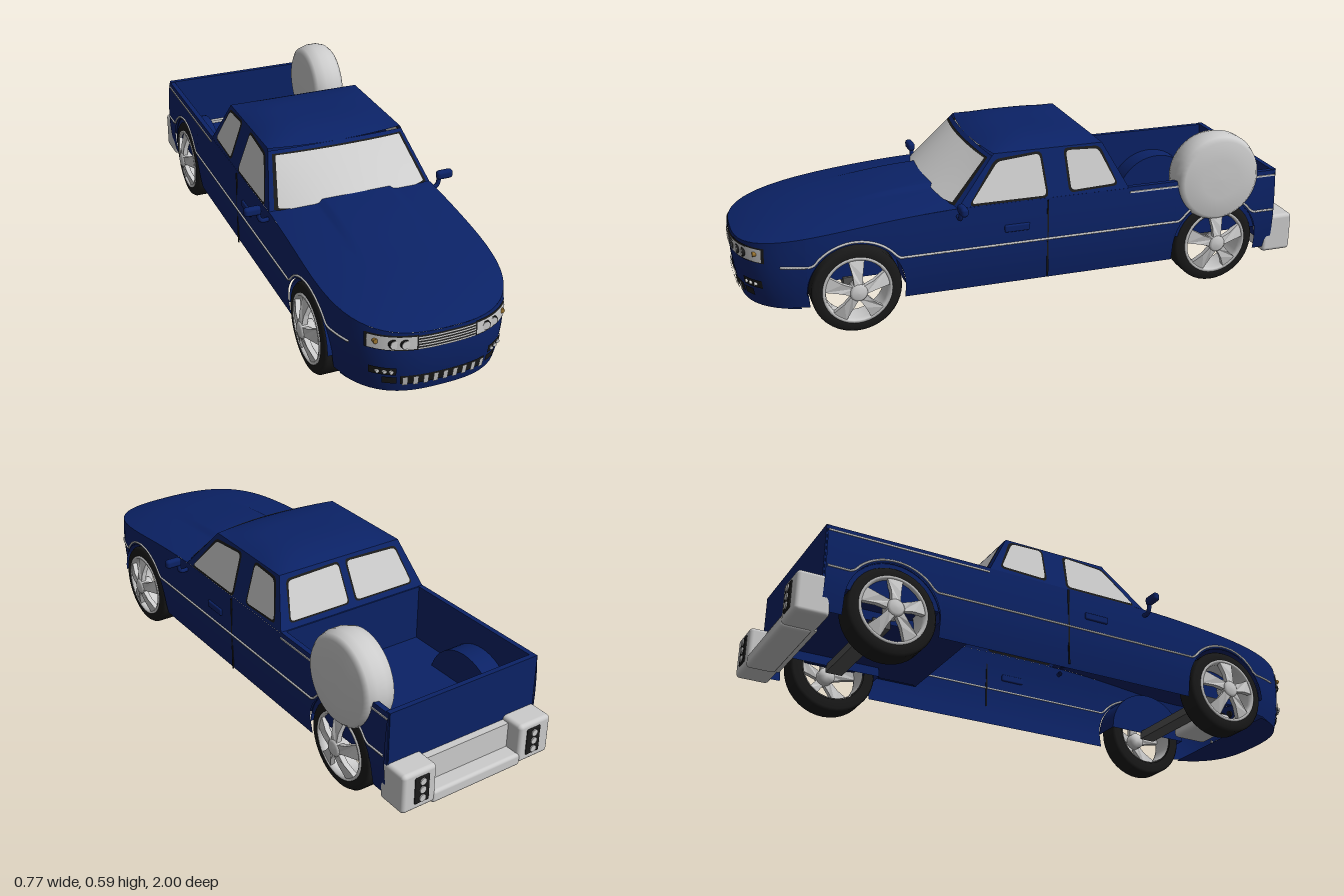
import * as THREE from 'three';
import { RoundedBoxGeometry } from 'three/addons/geometries/RoundedBoxGeometry.js';

const mat = (color) => new THREE.MeshStandardMaterial({ color, roughness: 0.6, side: THREE.DoubleSide });
const blue = mat(0x0b2266), black = mat(0x1a1a1a), grey = mat(0xcccccc);
const lerp = THREE.MathUtils.lerp;
const WHEEL_Y = 0.152, AXLES = [0.628, -0.674], ARCH = 0.163;

function add(parent, name, geo, material, x = 0, y = 0, z = 0) {
  const m = new THREE.Mesh(geo, material);
  m.name = name;
  m.position.set(x, y, z);
  parent.add(m);
  return m;
}

// Grid surface from fn(u, v) -> [x, y, z]
function surf(fn, nu, nv) {
  const pos = [], idx = [];
  for (let i = 0; i <= nu; i++) for (let j = 0; j <= nv; j++) {
    pos.push(...fn(i / nu, j / nv));
    if (i < nu && j < nv) {
      const a = i * (nv + 1) + j, b = a + nv + 1;
      idx.push(a, b, a + 1, b, b + 1, a + 1);
    }
  }
  const g = new THREE.BufferGeometry();
  g.setAttribute('position', new THREE.Float32BufferAttribute(pos, 3));
  g.setIndex(idx);
  g.computeVertexNormals();
  return g;
}

// Flat polygon with rounded corners, mapped into space by fn(a, b)
function panel(pts, r, fn) {
  const s = new THREE.Shape(), V = pts.map((p) => new THREE.Vector2(...p)), n = V.length;
  V.forEach((p, i) => {
    const toward = (q) => p.clone().add(q.clone().sub(p).setLength(r));
    const a = toward(V[(i + n - 1) % n]), b = toward(V[(i + 1) % n]);
    if (i) s.lineTo(a.x, a.y); else s.moveTo(a.x, a.y);
    s.quadraticCurveTo(p.x, p.y, b.x, b.y);
  });
  const g = new THREE.ShapeGeometry(s, 6), P = g.attributes.position;
  for (let i = 0; i < P.count; i++) P.setXYZ(i, ...fn(P.getX(i), P.getY(i)));
  g.computeVertexNormals();
  return g;
}

// Body outline in plan, shoulder height, and narrowing above and below the waist
const widthAt = (z) => z < 0.45 ? 0.305 : 0.305 * Math.max(0, 1 - ((z - 0.45) / 0.55) ** 4) ** (1 / 2.7);
const noseZ = (x) => 0.45 + 0.55 * Math.max(0, 1 - (Math.abs(x) / 0.305) ** 2.7) ** 0.25;
const along = (z) => THREE.MathUtils.clamp((z - 0.25) / 0.75, 0, 1);
const shoulder = (z) => 0.395 - 0.08 * along(z) ** 1.6;
function place(x, y, z, fy = y) {
  const t = (fy - 0.25) / 0.15, f = 1 - (t < 0 ? 0.05 : 0.03) * t * t;
  return [x * f, y, z > 0.6 ? 0.6 + (z - 0.6) * f : z];
}
// Patch lying on the nose
const nosePatch = (x0, x1, y0, y1, off) => surf((u, v) => {
  const x = lerp(x0, x1, u), p = place(x, lerp(y0, y1, v), noseZ(x));
  return [p[0] * (1 + off), p[1], p[2] + off];
}, 10, 2);

function buildBody(g) {
  // Stations [x, z, bottom] along one side, round the wheel arches to the nose
  const st = [];
  const station = (z, yb = 0.1) => st.push([widthAt(z), z, yb]);
  station(-0.905);
  for (const zc of [...AXLES].reverse()) {
    station(zc - ARCH);
    for (let i = 0; i <= 24; i++) {
      const a = Math.PI * (1 - i / 24);
      station(zc + ARCH * Math.cos(a), WHEEL_Y + ARCH * Math.sin(a));
    }
    station(zc + ARCH);
    if (zc < 0) for (let z = -0.4; z < 0.45; z += 0.1) station(z);
  }
  station(0.83);
  for (let i = 0, x0 = widthAt(0.87); i <= 14; i++) st.push([x0 * (1 - i / 14), noseZ(x0 * (1 - i / 14)), 0.095]);
  for (const sg of [1, -1]) {
    add(g, 'bodySide', surf((u, v) => {
      const [x, z, yb] = st[Math.round(u * (st.length - 1))];
      return place(sg * x, lerp(yb, shoulder(z), v), z);
    }, st.length - 1, 8), blue);
    // Trim strip that rises over both arches
    const pts = [];
    for (let z = -0.9; z < 0.88; z += 0.015) {
      let y = 0.25;
      for (const zc of AXLES) y = Math.max(y, WHEEL_Y + Math.sqrt(Math.max(0, 0.172 ** 2 - (z - zc) ** 2)));
      pts.push(new THREE.Vector3(...place(sg * (widthAt(z) + 0.001), y, z)));
    }
    add(g, 'sideTrim', new THREE.TubeGeometry(new THREE.CatmullRomCurve3(pts), 200, 0.004, 5), grey);
    // Door seam and handle
    add(g, 'doorSeam', new THREE.BoxGeometry(0.004, 0.28, 0.005), black, sg * 0.303, 0.25, -0.035);
    add(g, 'doorHandle', new RoundedBoxGeometry(0.012, 0.026, 0.09, 2, 0.005), blue, sg * 0.304, 0.305, 0.075);
    // Wheel wells
    for (const zc of AXLES) {
      const arc = (u, r, x) => [sg * x, WHEEL_Y + r * Math.sin(Math.PI * u), zc + r * Math.cos(Math.PI * u)];
      add(g, 'wheelWell', surf((u, v) => arc(u, ARCH, lerp(0.2, 0.298, v)), 24, 1), blue);
      add(g, 'wheelWellInner', surf((u, v) => arc(u, ARCH * v, 0.2), 24, 1), blue);
    }
  }
  // Bonnet with a raised middle
  add(g, 'bonnet', surf((u, v) => {
    const z = 0.25 + 0.75 * Math.sin(v * Math.PI / 2), s = 2 * u - 1, x = s * widthAt(z), e = shoulder(z);
    const crown = 0.034 * (1 - along(z) ** 6) * (1 - Math.abs(s) ** 2.2);
    const bulge = 0.008 * (1 - THREE.MathUtils.smoothstep(Math.abs(x), 0.125, 0.145)) * (1 - THREE.MathUtils.smoothstep(z, 0.4, 0.7));
    return place(x, e + crown + bulge, z, e);
  }, 48, 24), blue);
  add(g, 'noseUnderside', surf((u, v) => {
    const z = 0.82 + 0.18 * Math.sin(v * Math.PI / 2);
    return place((2 * u - 1) * widthAt(z), 0.095, z);
  }, 12, 10), blue);
}

function buildNose(g) {
  add(g, 'grilleBack', nosePatch(-0.095, 0.095, 0.26, 0.306, 0.002), black);
  for (let i = 0; i < 5; i++) add(g, 'grilleBar', nosePatch(-0.095, 0.095, 0.261 + i * 0.0092, 0.268 + i * 0.0092, 0.006), grey);
  add(g, 'lowerIntake', nosePatch(-0.143, 0.143, 0.128, 0.162, 0.003), black);
  for (let i = -4; i <= 4; i++) add(g, 'intakeBar', nosePatch(i * 0.0325 - 0.008, i * 0.0325 + 0.008, 0.128, 0.162, 0.009), grey);
  const lamp = (name, x, y, r, m, off) => {
    const p = place(x, y, noseZ(x));
    add(g, name, new THREE.CylinderGeometry(r, r, 0.012, 20).rotateX(Math.PI / 2), m, p[0], p[1], p[2] + off);
  };
  for (const s of [1, -1]) {
    add(g, 'headlightFrame', nosePatch(s * 0.094, s * 0.235, 0.258, 0.31, 0.003), black);
    add(g, 'headlight', nosePatch(s * 0.098, s * 0.23, 0.262, 0.306, 0.006), grey);
    for (const x of [0.133, 0.165]) {
      lamp('lampRing', s * x, 0.282, 0.016, black, 0.002);
      lamp('lampLens', s * x, 0.282, 0.013, grey, 0.004);
    }
    lamp('indicator', s * 0.212, 0.288, 0.008, mat(0x9a7430), 0.006);
    add(g, 'fogLampHousing', nosePatch(s * 0.155, s * 0.225, 0.166, 0.194, 0.004), black);
    for (const x of [0.17, 0.188, 0.206]) lamp('fogLamp', s * x, 0.179, 0.006, grey, 0.004);
    add(g, 'sideDuct', nosePatch(s * 0.153, s * 0.193, 0.132, 0.158, 0.004), black);
  }
}

function buildCab(g) {
  const yAt = (t) => lerp(0.395, 0.555, t), tAt = (y) => (y - 0.395) / 0.16;
  const xAt = (t) => lerp(0.296, 0.245, t), rearZ = (t) => lerp(-0.335, -0.25, t);
  const frontZ = (s, t) => lerp(0.28, 0.14, t) + lerp(0.095, 0.025, t) * (1 - s * s);
  const screen = (s0, s1, t0, t1, off) => surf((u, v) => {
    const s = lerp(s0, s1, u), t = lerp(t0, t1 + 0.04 * (1 - s * s), v);
    return [s * xAt(t), yAt(t) + off, frontZ(s, t) + off];
  }, 24, 6);
  add(g, 'windscreenFrame', screen(-1, 1, 0, 0.96, 0), blue);
  add(g, 'roof', surf((u, v) => {
    const b = 2 * u - 1;
    return [b * xAt(1), 0.555 + 0.031 * (1 - b ** 4) * (1 - Math.abs(2 * v - 1) ** 3), lerp(frontZ(b, 1), rearZ(1), v)];
  }, 32, 20), blue);
  add(g, 'cabBack', surf((u, v) => [(2 * u - 1) * xAt(v), yAt(v), rearZ(v)], 2, 2), blue);
  add(g, 'cabBackLower', new THREE.BoxGeometry(0.58, 0.21, 0.008), blue, 0, 0.292, -0.335);
  const frontWin = [[0.235, 0.405], [0.13, 0.53], [-0.02, 0.542], [-0.032, 0.405]];
  const rearWin = [[-0.122, 0.412], [-0.115, 0.543], [-0.232, 0.538], [-0.288, 0.418]];
  const grow = (pts, k) => {
    const c = [0, 1].map((i) => pts.reduce((a, p) => a + p[i], 0) / pts.length);
    return pts.map((p) => p.map((q, i) => q + k * Math.sign(q - c[i])));
  };
  // Glass is set on both faces of the shell
  for (const d of [1, -1]) {
    add(g, 'windscreenSeal', screen(-0.95, 0.95, 0.03, 0.9, d * 0.002), black);
    add(g, 'windscreen', screen(-0.91, 0.91, 0.06, 0.87, d * 0.004), grey);
    for (const s of [1, -1]) {
      const onSide = (off) => (z, y) => [s * (xAt(tAt(y)) + d * off), y, z];
      for (const w of [frontWin, rearWin]) {
        add(g, 'sideWindowSeal', panel(grow(w, 0.008), 0.02, onSide(0.002)), black);
        add(g, 'sideWindow', panel(w, 0.016, onSide(0.004)), grey);
      }
      const onBack = (off) => (x, y) => [x, y, rearZ(tAt(y)) - d * off];
      const back = [[s * 0.018, 0.42], [s * 0.018, 0.54], [s * 0.22, 0.535], [s * 0.25, 0.42]];
      add(g, 'rearWindowSeal', panel(grow(back, 0.006), 0.016, onBack(0.002)), black);
      add(g, 'rearWindow', panel(back, 0.014, onBack(0.004)), grey);
    }
  }
  for (const s of [1, -1]) {
    add(g, 'cabSide', surf((u, v) => [s * xAt(v), yAt(v), lerp(frontZ(1, v), rearZ(v), u)], 2, 2), blue);
    add(g, 'mirror', new RoundedBoxGeometry(0.06, 0.032, 0.026, 3, 0.011), blue, s * 0.354, 0.41, 0.28);
    const arm = new THREE.CatmullRomCurve3([[0.285, 0.37], [0.325, 0.37], [0.335, 0.4]].map(([x, y]) => new THREE.Vector3(s * x, y, 0.28)));
    add(g, 'mirrorArm', new THREE.TubeGeometry(arm, 10, 0.008, 8), blue);
  }
}

function buildBed(g) {
  add(g, 'bedFloor', new THREE.BoxGeometry(0.56, 0.01, 0.555), blue, 0, 0.19, -0.615);
  add(g, 'tailgate', new THREE.BoxGeometry(0.585, 0.2, 0.018), blue, 0, 0.3, -0.9);
  for (const s of [1, -1]) {
    add(g, 'bedWall', new THREE.BoxGeometry(0.018, 0.21, 0.57), blue, s * 0.286, 0.293, -0.62);
    add(g, 'railStrip', new THREE.BoxGeometry(0.006, 0.006, 0.565), grey, s * 0.298, 0.38, -0.62);
    // Rear bumper ends with stacked lamps
    add(g, 'bumperEnd', new RoundedBoxGeometry(0.13, 0.14, 0.113, 3, 0.014), grey, s * 0.232, 0.15, -0.933);
    add(g, 'rearLampPanel', new RoundedBoxGeometry(0.055, 0.095, 0.01, 2, 0.004), black, s * 0.225, 0.152, -0.989);
    for (const y of [0.122, 0.152, 0.182]) add(g, 'rearLamp', new THREE.CylinderGeometry(0.012, 0.012, 0.008, 16).rotateX(Math.PI / 2), grey, s * 0.225, y, -0.994);
  }
  add(g, 'bumperMiddle', new THREE.BoxGeometry(0.36, 0.125, 0.06), grey, 0, 0.143, -0.905);
  add(g, 'bumperStep', new RoundedBoxGeometry(0.36, 0.045, 0.1, 2, 0.012), grey, 0, 0.095, -0.94);
  // Covered spare wheel
  const cover = [[0, 0.2], [0.13, 0.2], [0.15, 0.212], [0.16, 0.245], [0.16, 0.28], [0.152, 0.305], [0.138, 0.32], [0.07, 0.324], [0, 0.325]];
  add(g, 'spareWheelCover', new THREE.LatheGeometry(cover.map((p) => new THREE.Vector2(...p)), 48).rotateZ(-Math.PI / 2), grey, 0, 0.395, -0.675);
}

function buildWheel() {
  const w = new THREE.Group();
  w.name = 'wheel';
  const lathe = (pts) => new THREE.LatheGeometry(pts.map((p) => new THREE.Vector2(...p)), 40).rotateZ(-Math.PI / 2);
  add(w, 'tyre', lathe([[0.112, 0.215], [0.145, 0.213], [0.152, 0.222], [0.152, 0.29], [0.145, 0.3], [0.118, 0.302], [0.112, 0.296]]), black);
  add(w, 'rim', lathe([[0.108, 0.215], [0.104, 0.29], [0.108, 0.305], [0.117, 0.305], [0.117, 0.298]]), grey);
  add(w, 'hub', lathe([[0, 0.33], [0.022, 0.329], [0.03, 0.322], [0.03, 0.28], [0, 0.28]]), grey);
  const s = new THREE.Shape([[-0.014, 0.015], [0.014, 0.015], [0.017, 0.06], [0.027, 0.109], [-0.027, 0.109], [-0.017, 0.06]].map((p) => new THREE.Vector2(...p)));
  for (let i = 0; i < 5; i++) {
    const geo = new THREE.ExtrudeGeometry(s, { depth: 0.018, bevelEnabled: false });
    const P = geo.attributes.position;
    // Spokes bow outward toward the hub
    for (let k = 0; k < P.count; k++) P.setZ(k, P.getZ(k) + 0.307 - 0.022 * (P.getY(k) / 0.109) ** 2);
    geo.computeVertexNormals();
    add(w, 'spoke', geo.rotateY(Math.PI / 2).rotateX(i * Math.PI * 0.4), grey);
  }
  return w;
}

export function createModel() {
  const g = new THREE.Group();
  g.name = 'pickupTruck';
  [buildBody, buildNose, buildCab, buildBed].forEach((build) => build(g));
  for (const z of AXLES) {
    for (const s of [1, -1]) {
      const w = buildWheel();
      w.position.set(0, WHEEL_Y, z);
      if (s < 0) w.rotation.y = Math.PI;
      g.add(w);
    }
    add(g, 'axle', new THREE.BoxGeometry(0.42, 0.03, 0.06), mat(0x555555), 0, 0.145, z);
  }
  add(g, 'enginePan', new RoundedBoxGeometry(0.18, 0.06, 0.14, 2, 0.015), grey, 0, 0.14, 0.74);
  return g;
}
